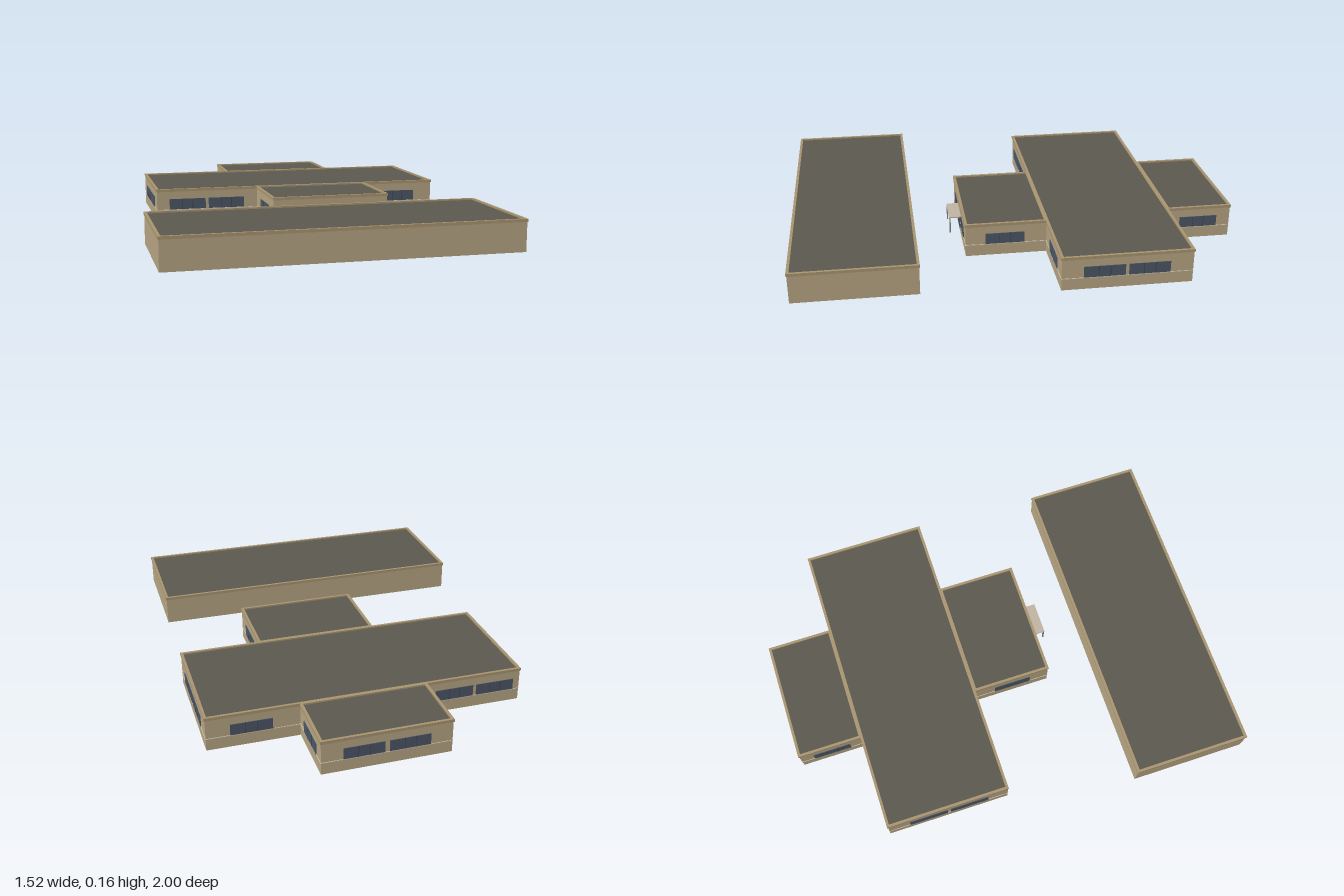
import * as THREE from 'three';

const mat = (name, color, side = THREE.FrontSide) => {
  const m = new THREE.MeshStandardMaterial({ color, side });
  m.name = name;
  return m;
};

export function createModel() {
  const model = new THREE.Group();
  model.name = 'buildingComplex';

  const wallMat = mat('tan wall', 0xb5a382);
  const copingMat = mat('coping tan', 0xa8946f);
  const roofMat = mat('dark roof', 0x5a584e, THREE.DoubleSide);
  const glassMat = mat('window glass', 0x4a5566);
  const frameMat = mat('dark frame', 0x3c4450);
  const bandMat = mat('light band', 0xcfc6b2);
  const canopyMat = mat('canopy', 0xbfb4a2);
  const postMat = mat('grey post', 0x83837f);

  const add = (parent, name, geometry, material) => {
    const mesh = new THREE.Mesh(geometry, material);
    mesh.name = name;
    parent.add(mesh);
    return mesh;
  };
  const box = (parent, name, material, w, h, d, x, y, z) =>
    add(parent, name, new THREE.BoxGeometry(w, h, d), material).position.set(x, y, z);

  const rect = (Cls, x0, x1, z0, z1) => new Cls([
    new THREE.Vector2(x0, -z1), new THREE.Vector2(x1, -z1),
    new THREE.Vector2(x1, -z0), new THREE.Vector2(x0, -z0),
  ]);

  // Rectangular ring of walls; "grow" pushes the outer face outwards
  const ring = (parent, name, material, [x0, x1, z0, z1], y0, y1, grow, thick) => {
    const i = thick - grow;
    const shape = rect(THREE.Shape, x0 - grow, x1 + grow, z0 - grow, z1 + grow);
    shape.holes.push(rect(THREE.Path, x0 + i, x1 - i, z0 + i, z1 - i));
    const geo = new THREE.ExtrudeGeometry(shape, { depth: y1 - y0, bevelEnabled: false });
    geo.rotateX(-Math.PI / 2);
    geo.translate(0, y0, 0);
    add(parent, name, geo, material);
  };

  // Open-bottomed block with flat roof, coping and optional light band
  const block = (name, area, y0, banded) => {
    const g = new THREE.Group();
    g.name = name;
    model.add(g);
    const [x0, x1, z0, z1] = area;
    ring(g, 'walls', wallMat, area, y0, 0.15, 0, 0.005);
    ring(g, 'coping', copingMat, area, 0.142, 0.155, 0.003, 0.012);
    if (banded) ring(g, 'wallBand', bandMat, area, 0.0525, 0.0555, 0.002, 0.004);
    const roof = new THREE.PlaneGeometry(x1 - x0 - 0.006, z1 - z0 - 0.006);
    roof.rotateX(-Math.PI / 2);
    add(g, 'roof', roof, roofMat).position.set((x0 + x1) / 2, 0.148, (z0 + z1) / 2);
    return g;
  };

  // Window strip with mullions: axis 'x' runs along x on a wall at z = at, and vice versa
  const windowStrip = (parent, axis, at, a, b) => {
    const g = new THREE.Group();
    g.name = 'window';
    parent.add(g);
    const plate = (name, m, len, h, thick, mid) => axis === 'x'
      ? box(g, name, m, len, h, thick, mid, 0.081, at)
      : box(g, name, m, thick, h, len, at, 0.081, mid);
    plate('glass', glassMat, b - a, 0.05, 0.006, (a + b) / 2);
    for (const t of [0.36, 0.64]) plate('mullion', frameMat, 0.003, 0.05, 0.008, a + (b - a) * t);
  };

  const main = block('mainBlock', [-0.64, 0.757, -0.7, -0.13], 0, true);
  const rear = block('rearBlock', [-0.2, 0.357, -0.997, -0.7], 0, true);
  const entrance = block('entranceBlock', [-0.15, 0.397, -0.13, 0.235], 0, true);
  block('frontBlock', [-0.757, 0.732, 0.46, 0.995], 0.017, false);

  // Main block windows
  for (const x of [-0.64, 0.757])
    for (const [a, b] of [[-0.6, -0.42], [-0.405, -0.225]]) windowStrip(main, 'z', x, a, b);
  for (const [a, b] of [[-0.58, -0.405], [-0.39, -0.215], [0.49, 0.665]]) windowStrip(main, 'x', -0.13, a, b);
  for (const [a, b] of [[-0.61, -0.435], [-0.42, -0.245], [0.475, 0.655]]) windowStrip(main, 'x', -0.7, a, b);

  // Rear block windows
  for (const x of [-0.2, 0.357]) windowStrip(rear, 'z', x, -0.935, -0.76);
  for (const [a, b] of [[-0.105, 0.07], [0.09, 0.265]]) windowStrip(rear, 'x', -0.997, a, b);

  // Entrance block windows and door
  for (const x of [-0.15, 0.397]) windowStrip(entrance, 'z', x, -0.03, 0.145);
  for (const [a, b] of [[-0.07, 0.045], [0.205, 0.32]]) windowStrip(entrance, 'x', 0.235, a, b);
  for (const x of [0.106, 0.144]) box(entrance, 'doorLeaf', glassMat, 0.035, 0.072, 0.007, x, 0.06, 0.235);

  // Entrance canopy on slim posts
  const canopy = new THREE.Group();
  canopy.name = 'entranceCanopy';
  model.add(canopy);
  box(canopy, 'canopyRoof', canopyMat, 0.15, 0.005, 0.055, 0.125, 0.0995, 0.2625);
  for (const x of [0.054, 0.196]) box(canopy, 'canopyPost', postMat, 0.006, 0.074, 0.006, x, 0.061, 0.286);

  return model;
}
